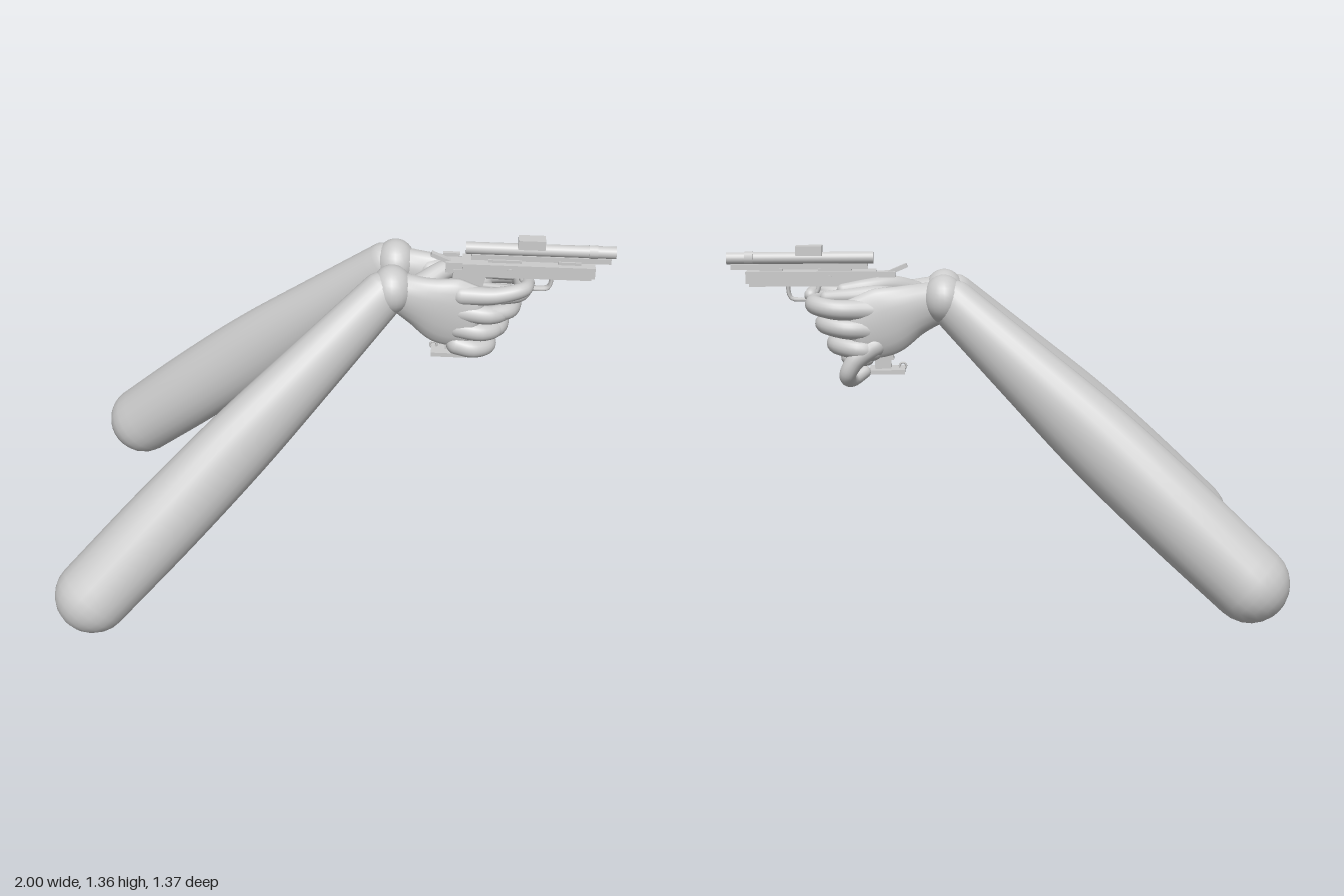
import * as THREE from 'three';

const grey = new THREE.MeshStandardMaterial({ color: 0xcccccc });
const greyDouble = new THREE.MeshStandardMaterial({ color: 0xcccccc, side: THREE.DoubleSide });

function mesh(name, geometry, parent, material = grey) {
  const m = new THREE.Mesh(geometry, material);
  m.name = name;
  parent.add(m);
  return m;
}

// Smooth limb with rounded ends. Each key is [x, y, z, radius along up, radius across].
function limb(keys, up = [0, 1, 0], sides = 18, steps = 24) {
  const path = new THREE.CatmullRomCurve3(keys.map(k => new THREE.Vector3(k[0], k[1], k[2])));
  const size = new THREE.CatmullRomCurve3(keys.map(k => new THREE.Vector3(k[3], k[4] ?? k[3], 0)), false, 'catmullrom');
  const upV = new THREE.Vector3(...up);
  const rings = [];
  const CAP = 6;
  const addRing = (t, angle, dir) => {
    const T = path.getTangent(t), r = size.getPoint(t), c = path.getPoint(t);
    c.addScaledVector(T, dir * Math.sin(angle) * Math.min(r.x, r.y));
    const k = Math.max(Math.cos(angle), 0.001);
    const side = new THREE.Vector3().crossVectors(T, upV).normalize();
    const u = new THREE.Vector3().crossVectors(side, T);
    rings.push({ c, side, u, ru: r.x * k, rs: r.y * k });
  };
  for (let i = CAP; i > 0; i--) addRing(0, (i / CAP) * Math.PI / 2, -1);
  for (let i = 0; i <= steps; i++) addRing(i / steps, 0, 0);
  for (let i = 1; i <= CAP; i++) addRing(1, (i / CAP) * Math.PI / 2, 1);

  const pos = [], index = [];
  rings.forEach(({ c, side, u, ru, rs }, i) => {
    for (let j = 0; j < sides; j++) {
      const a = (j / sides) * Math.PI * 2;
      const p = c.clone().addScaledVector(side, Math.cos(a) * rs).addScaledVector(u, Math.sin(a) * ru);
      pos.push(p.x, p.y, p.z);
      if (i === rings.length - 1) continue;
      const n = (j + 1) % sides, r0 = i * sides, r1 = r0 + sides;
      index.push(r0 + j, r1 + j, r0 + n, r0 + n, r1 + j, r1 + n);
    }
  });
  const g = new THREE.BufferGeometry();
  g.setAttribute('position', new THREE.Float32BufferAttribute(pos, 3));
  g.setIndex(index);
  g.computeVertexNormals();
  return g;
}

// Forearm tapering from the elbow to a bulging wrist
function buildArm(name, elbow, wrist, parent) {
  const g = new THREE.Group();
  g.name = name;
  parent.add(g);
  const profile = [[0, 0.142, 0.14], [0.25, 0.148, 0.13], [0.5, 0.142, 0.112], [0.75, 0.115, 0.095], [0.98, 0.088, 0.075]];
  const keys = profile.map(([t, ru, rs]) => [...elbow.map((e, i) => e + (wrist[i] - e) * t), ru, rs]);
  mesh('forearm', limb(keys, [0, 1, 0], 24, 32), g);
  const w = mesh('wrist', new THREE.SphereGeometry(1, 24, 16), g);
  w.scale.set(0.075, 0.088, 0.088);
  w.position.set(wrist[0] + 0.01, wrist[1] - 0.005, wrist[2]);
}

function buildRightHand(parent) {
  const g = new THREE.Group();
  g.name = 'rightHand';
  parent.add(g);
  mesh('palm', limb([[0.24, 1.165, 0.03, 0.075, 0.06], [0.32, 1.13, 0.035, 0.1, 0.052],
    [0.41, 1.095, 0.035, 0.135, 0.045], [0.5, 1.075, 0.04, 0.125, 0.036]]), g);
  mesh('indexFinger', limb([[0.46, 1.165, 0.045, 0.036], [0.58, 1.17, 0.055, 0.031],
    [0.68, 1.185, 0.03, 0.027], [0.7, 1.18, -0.03, 0.024]]), g);
  for (let i = 0; i < 3; i++) {
    const y = 1.1 - 0.07 * i, x = 0.61 - 0.025 * i;
    mesh('gripFinger', limb([[0.45, y, 0.04, 0.038], [x - 0.05, y - 0.01, 0.052, 0.034], [x, y - 0.015, 0.02, 0.031],
      [x, y - 0.015, -0.04, 0.029], [x - 0.06, y - 0.01, -0.08, 0.026]]), g);
  }
  mesh('thumb', limb([[0.32, 1.18, 0.0, 0.045], [0.4, 1.215, -0.05, 0.036],
    [0.49, 1.215, -0.085, 0.03], [0.58, 1.205, -0.09, 0.024]]), g);
}

function buildLeftHand(parent) {
  const g = new THREE.Group();
  g.name = 'leftHand';
  parent.add(g);
  mesh('palm', limb([[0.24, 1.17, -0.165, 0.075, 0.06], [0.33, 1.14, -0.155, 0.095, 0.05],
    [0.43, 1.1, -0.15, 0.125, 0.045], [0.53, 1.07, -0.15, 0.115, 0.04]]), g);
  // Three fingers wrapping over the front of the other hand
  for (const [y, x] of [[1.155, 0.685], [1.085, 0.65], [1.01, 0.61]]) {
    mesh('wrapFinger', limb([[0.48, y - 0.015, -0.15, 0.04], [x - 0.08, y - 0.01, -0.168, 0.036],
      [x - 0.01, y, -0.13, 0.034], [x, y, -0.05, 0.033], [x - 0.02, y + 0.005, 0.015, 0.031],
      [x - 0.08, y + 0.01, 0.05, 0.028]]), g);
  }
  mesh('littleFinger', limb([[0.47, 1.01, -0.155, 0.04], [0.54, 0.96, -0.168, 0.034], [0.57, 0.905, -0.16, 0.03],
    [0.555, 0.88, -0.11, 0.028], [0.51, 0.9, -0.075, 0.024]], [1, 0, 0]), g);
  mesh('thumb', limb([[0.35, 1.17, -0.14, 0.045], [0.46, 1.19, -0.125, 0.035],
    [0.55, 1.185, -0.115, 0.03], [0.64, 1.18, -0.1, 0.024]]), g);
}

function buildPistol(parent) {
  // Modelled around z = 0 and x = 0.7, then turned slightly
  const g = new THREE.Group();
  g.name = 'pistol';
  g.position.set(0.7, 0, -0.025);
  g.rotation.y = -0.03;
  parent.add(g);
  const box = (name, x0, x1, y0, y1, w, z = 0) => {
    const m = mesh(name, new THREE.BoxGeometry(x1 - x0, y1 - y0, w), g);
    m.position.set((x0 + x1) / 2 - 0.7, (y0 + y1) / 2, z);
    return m;
  };

  // Hollow barrel
  const barrelProfile = [[0, 0], [0.022, 0], [0.022, 0], [0.022, 0.53], [0.022, 0.53], [0.013, 0.53], [0.013, 0.53], [0.013, 0.47], [0, 0.47]];
  const barrel = mesh('barrel', new THREE.LatheGeometry(barrelProfile.map(p => new THREE.Vector2(...p)), 20), g, greyDouble);
  barrel.rotation.z = -Math.PI / 2;
  barrel.position.set(-0.23, 1.315, 0);
  const collar = mesh('muzzleCollar', new THREE.CylinderGeometry(0.025, 0.025, 0.03, 8), g);
  collar.rotation.z = Math.PI / 2;
  collar.position.set(0.22, 1.315, 0);

  box('sight', 0.655, 0.75, 1.325, 1.36, 0.05);
  box('barrelRail', 0.49, 0.985, 1.275, 1.295, 0.03);
  box('railBlock', 0.55, 0.67, 1.265, 1.28, 0.045);
  box('railBlock', 0.8, 0.88, 1.265, 1.28, 0.045);
  box('frame', 0.46, 0.93, 1.228, 1.27, 0.085);
  box('frameLip', 0.47, 0.92, 1.215, 1.23, 0.06);
  box('frameTail', 0.4, 0.47, 1.225, 1.265, 0.05);
  box('hammer', 0.345, 0.42, 1.265, 1.28, 0.022).rotation.z = -0.4;
  box('safetyLever', 0.39, 0.45, 1.25, 1.27, 0.015, -0.05);
  for (const s of [-1, 1]) {
    const pin = mesh('framePin', new THREE.CylinderGeometry(0.01, 0.01, 0.008, 12), g);
    pin.rotation.x = Math.PI / 2;
    pin.position.set(-0.07, 1.248, s * 0.044);
  }

  // Raked grip and magazine
  const outline = new THREE.Shape([[0.43, 1.24], [0.55, 1.24], [0.485, 0.94], [0.4, 0.94]].map(([x, y]) => new THREE.Vector2(x - 0.7, y)));
  const grip = new THREE.ExtrudeGeometry(outline, { depth: 0.06, bevelEnabled: false });
  mesh('grip', grip.translate(0, 0, -0.03), g);
  box('magazine', 0.41, 0.47, 0.895, 0.95, 0.04);
  box('magazinePlate', 0.36, 0.49, 0.89, 0.906, 0.1);
  const ring = mesh('lanyardRing', new THREE.TorusGeometry(0.012, 0.004, 8, 16), g);
  ring.position.set(-0.332, 0.913, 0);

  // Trigger and its guard
  const curve = pts => new THREE.CatmullRomCurve3(pts.map(([x, y]) => new THREE.Vector3(x - 0.7, y, 0)));
  const guard = new THREE.TubeGeometry(curve([[0.78, 1.23], [0.78, 1.19], [0.77, 1.168], [0.72, 1.163], [0.62, 1.163], [0.53, 1.17]]), 24, 0.008, 8);
  mesh('triggerGuard', guard.scale(1, 1, 2), g);
  mesh('trigger', new THREE.TubeGeometry(curve([[0.665, 1.225], [0.675, 1.195], [0.69, 1.175]]), 10, 0.008, 8), g);
}

export function createModel() {
  const model = new THREE.Group();
  model.name = 'armsHoldingPistol';
  buildArm('rightArm', [-0.86, 0.143, 0.54], [0.2, 1.18, 0.03], model);
  buildArm('leftArm', [-0.84, 0.21, -0.55], [0.21, 1.185, -0.17], model);
  buildRightHand(model);
  buildLeftHand(model);
  buildPistol(model);
  return model;
}
